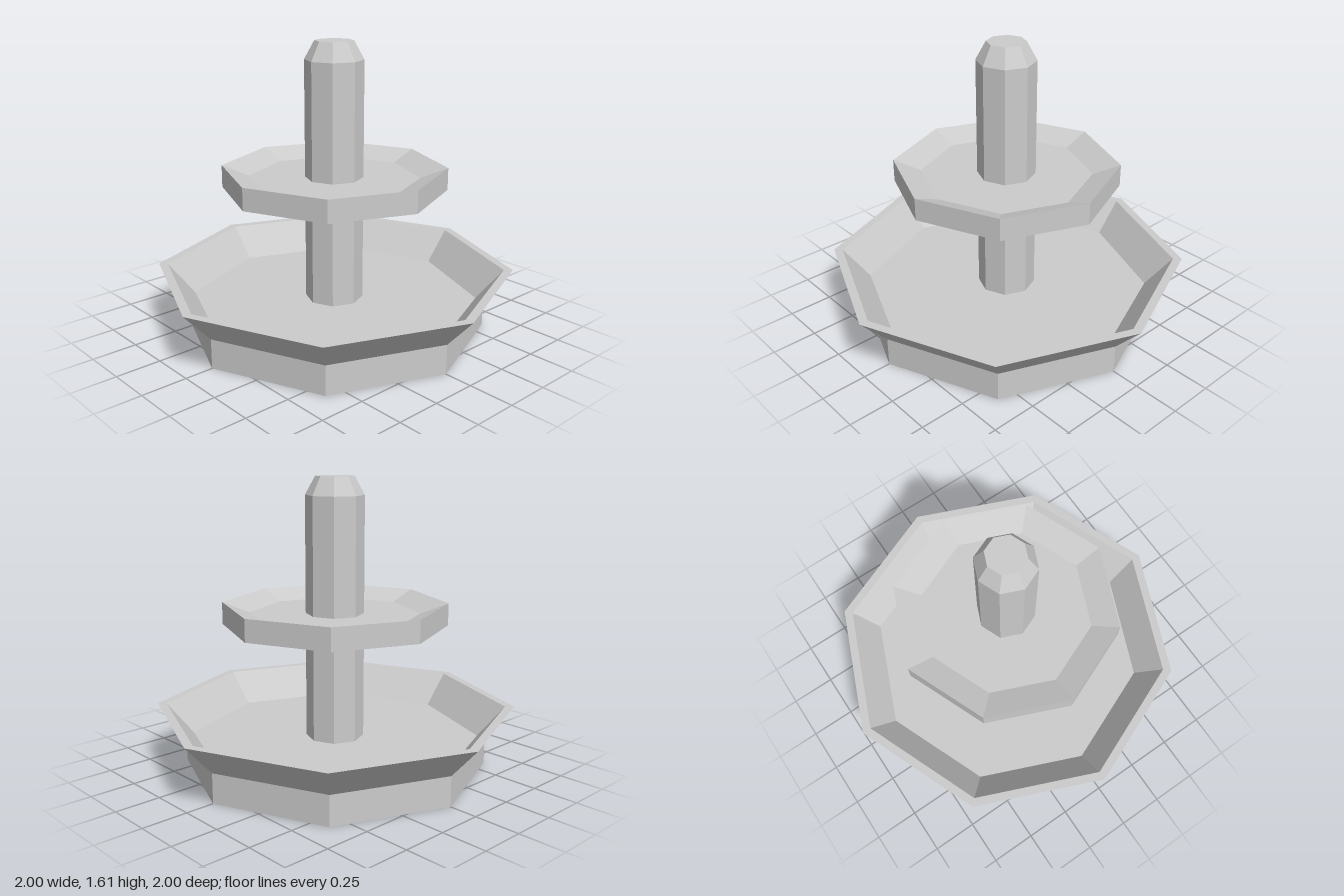
import * as THREE from 'three';

const SIDES = 8;
const material = new THREE.MeshStandardMaterial({
  color: 0xcccccc,
  flatShading: true,
  side: THREE.DoubleSide,
});

// Spins an [radius, height] profile, listed bottom to top along the outside
function turned(name, profile) {
  const points = profile.map(([r, y]) => new THREE.Vector2(r, y));
  const geometry = new THREE.LatheGeometry(points, SIDES).toNonIndexed();
  geometry.computeVertexNormals();
  const mesh = new THREE.Mesh(geometry, material);
  mesh.name = name;
  return mesh;
}

export function createModel() {
  const group = new THREE.Group();
  group.name = 'fountain';

  // Hollow plinth below
  group.add(turned('plinth', [[0.843, 0], [0.843, 0.163]]));

  // Flared lower basin: outer slope, flat rim, inner slope, floor
  group.add(turned('lowerBasin', [
    [0.843, 0.163], [1, 0.335], [0.95, 0.335], [0.8, 0.163], [0, 0.163],
  ]));

  // Column between the basins, ending just short of the upper one
  group.add(turned('lowerColumn', [[0.16, 0.163], [0.16, 0.78], [0, 0.78]]));

  // Shallow dished upper basin
  group.add(turned('upperBasin', [
    [0, 0.797], [0.62, 0.797], [0.62, 0.92], [0.47, 0.863], [0, 0.863],
  ]));

  // Spout column with a chamfered top
  group.add(turned('upperColumn', [
    [0.16, 0.863], [0.16, 1.505], [0.105, 1.605], [0, 1.605],
  ]));

  return group;
}
